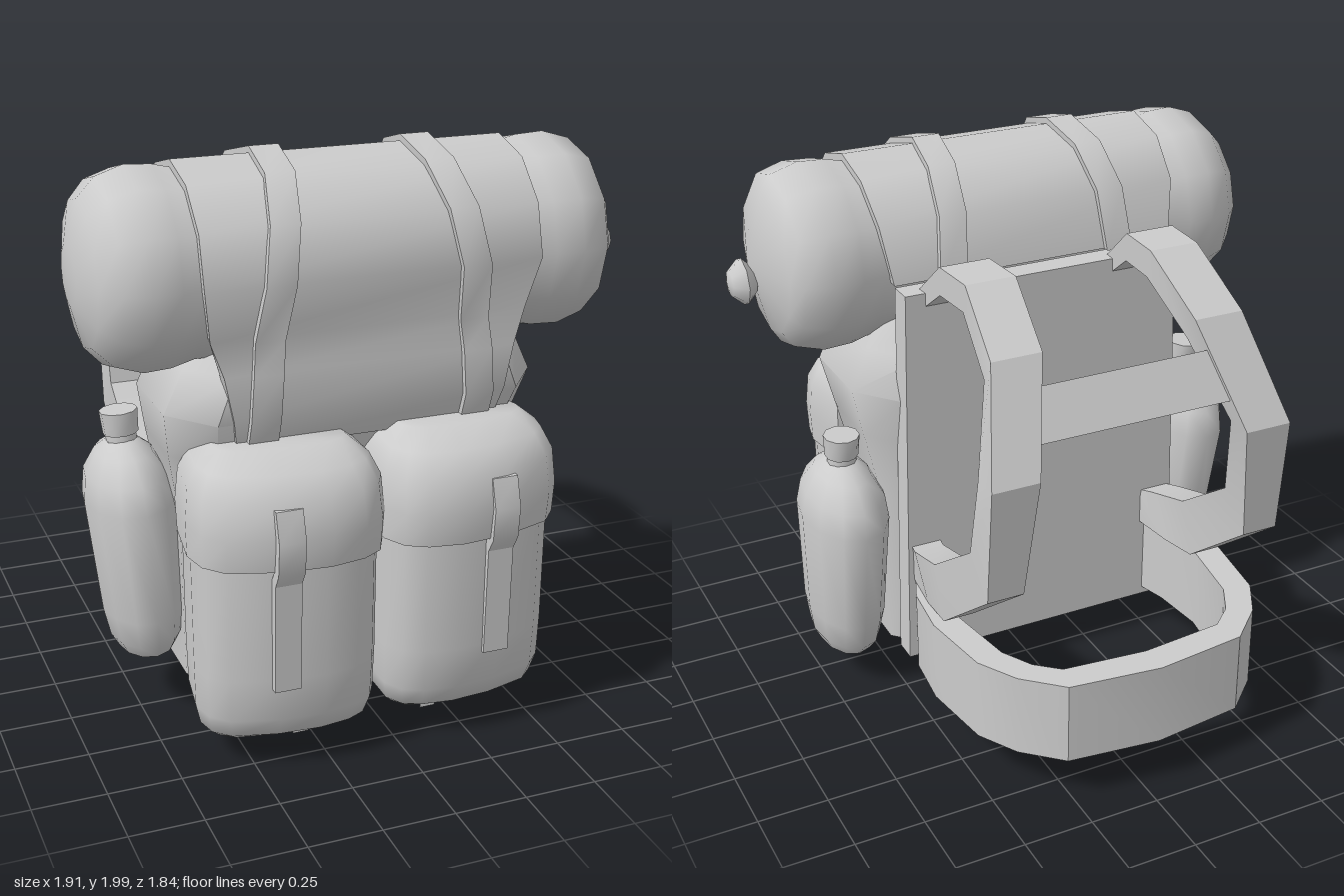
import * as THREE from 'three';
import { toCreasedNormals } from 'three/addons/utils/BufferGeometryUtils.js';

const CX = -0.05; // symmetry plane of the pack
const material = new THREE.MeshStandardMaterial({ color: 0xcccccc, side: THREE.DoubleSide });

function part(name, geometry, crease = 0.9) {
  const mesh = new THREE.Mesh(toCreasedNormals(geometry, crease), material);
  mesh.name = name;
  return mesh;
}

// Skin over equal-length rings of [x, y, z], closed with flat caps
function loft(rings) {
  const n = rings[0].length, index = [];
  for (let r = 0; r < rings.length - 1; r++) {
    for (let i = 0; i < n; i++) {
      const a = r * n + i, b = r * n + (i + 1) % n;
      index.push(a, b, b + n, a, b + n, a + n);
    }
  }
  const top = (rings.length - 1) * n;
  for (let i = 1; i < n - 1; i++) {
    index.push(0, i + 1, i, top, top + i, top + i + 1);
  }
  const g = new THREE.BufferGeometry();
  g.setAttribute('position', new THREE.Float32BufferAttribute(rings.flat(2), 3));
  g.setIndex(index);
  return g;
}

// Flat strap: stations of [xStart, xEnd, [y, z] inside, [y, z] outside]
const band = (stations) => loft(stations.map(([a, b, i, o]) =>
  [[a, ...i], [b, ...i], [b, ...o], [a, ...o]]));

const lathe = (profile, sides) =>
  new THREE.LatheGeometry(profile.map((p) => new THREE.Vector2(...p)), sides);

// Main sack: rounded box rings of [y, half width, back z, front z]
function sack() {
  const rings = [
    [0.09, 0.45, 0.12, 0.38], [0.15, 0.56, 0, 0.47], [0.75, 0.57, 0, 0.48], [1.0, 0.62, 0, 0.56],
    [1.17, 0.65, 0, 0.65], [1.32, 0.58, 0, 0.65], [1.42, 0.51, 0.02, 0.57], [1.5, 0.48, 0.06, 0.5],
  ].map(([y, w, b, f]) => {
    const cx = w * 0.2, cz = (f - b) * 0.25;
    return [[-w, b + cz], [-w, f - cz], [-w + cx, f], [w - cx, f],
      [w, f - cz], [w, b + cz], [w - cx, b], [-w + cx, b]].map(([x, z]) => [CX + x, y, z]);
  });
  return part('mainSack', loft(rings));
}

// Pocket: one plan outline scaled per ring of [y, x scale, z scale]
const pocketPlan = [[-0.31, 0.45], [-0.31, 0.76], [-0.27, 0.84], [-0.2, 0.88], [-0.08, 0.9],
  [0.08, 0.885], [0.25, 0.83], [0.31, 0.76], [0.33, 0.66], [0.3, 0.45]];
function pocketPart(name, s, levels) {
  return part(name, loft(levels.map(([y, sx, sz]) => {
    const ring = pocketPlan.map(([o, z]) => [CX + s * (0.31 + o * sx), y, 0.6 + (z - 0.6) * sz]);
    return s < 0 ? ring.reverse() : ring;
  })));
}

function pocket(s) {
  const g = new THREE.Group();
  g.name = s > 0 ? 'leftPocket' : 'rightPocket';
  g.add(pocketPart('pocketBag', s, [[0.09, 0.76, 0.5], [0.13, 0.88, 0.72], [0.2, 0.93, 0.83],
    [0.35, 0.94, 0.87], [0.78, 0.95, 0.88]]));
  g.add(pocketPart('pocketLid', s, [[0.75, 0.99, 0.98], [0.86, 1, 1.03], [0.98, 0.97, 0.95],
    [1.05, 0.87, 0.77], [1.1, 0.68, 0.42]]));
  // closing strap down the front, and the tail hanging underneath
  const x = CX + s * 0.37;
  g.add(part('pocketStrap', band([[0.96, 0.885], [0.86, 0.915], [0.75, 0.905], [0.7, 0.875], [0.32, 0.865]]
    .map(([y, z]) => [x - 0.045, x + 0.045, [y, z - 0.04], [y, z]])), 0.5));
  const tail = [[0.22, 0.1], [0.31, 0.1], [0.265, 0], [0.21, 0]];
  const shape = new THREE.Shape(tail.map(([o, y]) => new THREE.Vector2(CX + s * o, y)));
  const tailMesh = part('strapTail', new THREE.ShapeGeometry(shape));
  tailMesh.position.z = 0.62;
  g.add(tailMesh);
  return g;
}

// Path from behind the bedroll, over it and down the front of the sack
function drape(lift, sides) {
  const path = [185, 150, 120, 90, 60, 30, 0, -32].map((deg) => {
    const a = deg * Math.PI / 180, at = (r) => [1.625 + r * Math.sin(a), 0.36 + r * Math.cos(a)];
    return [at(0.29), at(0.34 + lift)];
  });
  for (const [y, z] of [[1.33, 0.66], [1.18, 0.66], [1.07, 0.62]]) {
    path.push([[y, z - 0.05], [y, z + lift]]);
  }
  return band(path.map(([i, o], k) => [...sides(k), i, o]));
}

// Flask with flattened body, round neck and cap
function bottle(name, x, y, tilt) {
  const g = new THREE.Group();
  g.name = name;
  const body = part('bottleBody', lathe([[0, 0], [0.15, 0], [0.19, 0.05], [0.215, 0.15], [0.243, 0.55],
    [0.22, 0.64], [0.15, 0.715], [0.08, 0.75], [0, 0.76]], 12));
  body.scale.x = 0.63;
  const neck = part('bottleNeck', new THREE.CylinderGeometry(0.05, 0.055, 0.1, 10));
  neck.position.y = 0.75;
  const cap = part('bottleCap', new THREE.CylinderGeometry(0.065, 0.06, 0.08, 10), 0.7);
  cap.position.y = 0.815;
  g.add(body, neck, cap);
  g.position.set(x, y, 0.22);
  g.rotation.set(-0.05, 0, tilt);
  return g;
}

function shoulderStrap(s) {
  const stations = [
    [0.27, 0.45, [1.5, 0], [1.58, 0]], [0.26, 0.44, [1.61, -0.15], [1.71, -0.15]],
    [0.25, 0.43, [1.61, -0.31], [1.71, -0.33]], [0.28, 0.46, [1.47, -0.53], [1.55, -0.58]],
    [0.38, 0.55, [1.2, -0.67], [1.2, -0.77]], [0.42, 0.55, [0.9, -0.6], [0.78, -0.73]],
    [0.44, 0.55, [0.69, -0.3], [0.5, -0.37]], [0.43, 0.54, [0.63, -0.1], [0.48, -0.21]],
    [0.41, 0.52, [0.61, -0.02], [0.48, -0.02]],
  ].map(([a, b, i, o]) => [CX + (s > 0 ? b : -a), CX + (s > 0 ? a : -b), i, o]);
  return part(s > 0 ? 'leftShoulderStrap' : 'rightShoulderStrap', band(stations), 0.4);
}

function waistBelt() {
  const outer = [[0.5, 0], [0.56, 0.15], [0.58, 0.35], [0.54, 0.62], [0.46, 0.76], [0.33, 0.88], [0, 0.92]];
  const inner = [[0.42, 0], [0.46, 0.15], [0.48, 0.35], [0.44, 0.6], [0.38, 0.71], [0.3, 0.78], [0, 0.81]];
  const mirror = (pts) => [...pts, ...pts.slice(0, -1).reverse().map(([x, z]) => [-x, z])];
  const outline = [...mirror(outer), ...mirror(inner).reverse()];
  const g = new THREE.ExtrudeGeometry(new THREE.Shape(outline.map((p) => new THREE.Vector2(...p))),
    { depth: 0.3, bevelEnabled: false });
  g.rotateX(-Math.PI / 2).translate(CX, 0.18, 0);
  return part('waistBelt', g, 0.5);
}

export function createModel() {
  const model = new THREE.Group();
  model.name = 'backpack';
  model.add(sack());

  // Stiff panel against the wearer's back
  const panelShape = new THREE.Shape([[-0.55, 0.15], [0.55, 0.15], [0.52, 1.58], [-0.52, 1.58]]
    .map((p) => new THREE.Vector2(...p)));
  const panel = part('backPanel', new THREE.ExtrudeGeometry(panelShape, { depth: 0.09, bevelEnabled: false }), 0.3);
  panel.position.set(CX, 0, -0.045);
  model.add(panel);

  // Bedroll lying across the top, with a knob on one end
  const roll = part('bedroll', lathe([[0, -0.96], [0.1, -0.955], [0.24, -0.92], [0.305, -0.86], [0.335, -0.77],
    [0.33, -0.68], [0.31, -0.6], [0.31, 0.5], [0.33, 0.58], [0.335, 0.68], [0.305, 0.78], [0.25, 0.815],
    [0, 0.88]], 12).rotateZ(-Math.PI / 2));
  roll.position.set(0, 1.625, 0.36);
  const knob = part('bedrollKnob', lathe([[0, 0.84], [0.045, 0.86], [0.085, 0.9], [0.045, 0.945], [0, 0.955]], 8)
    .rotateZ(-Math.PI / 2));
  knob.position.set(0, 1.565, 0.365);
  model.add(roll, knob);

  // Top flap over the bedroll and its two tie straps
  const half = [0.53, 0.56, 0.57, 0.57, 0.57, 0.57, 0.57, 0.54, 0.5, 0.47, 0.45];
  model.add(part('topFlap', drape(0, (k) => [CX - half[k], CX + half[k]])));
  const tie = [0.27, 0.25, 0.23, 0.21, 0.22, 0.25, 0.28, 0.3, 0.31, 0.32, 0.32];
  for (const s of [-1, 1]) {
    model.add(part('tieStrap', drape(0.022, (k) => {
      const x = CX + s * (tie[k] + 0.05);
      return [x - 0.05, x + 0.05];
    })));
    model.add(pocket(s), shoulderStrap(s));
  }

  model.add(bottle('leftBottle', 0.655, 0.15, 0.015));
  model.add(bottle('rightBottle', -0.715, 0.24, 0.065));
  model.add(waistBelt());

  // Cross strap joining the shoulder straps
  const chest = part('chestStrap', new THREE.BoxGeometry(0.74, 0.18, 0.05), 0.3);
  chest.position.set(CX, 1.36, -0.635);
  chest.rotation.x = 0.5;
  model.add(chest);
  return model;
}
